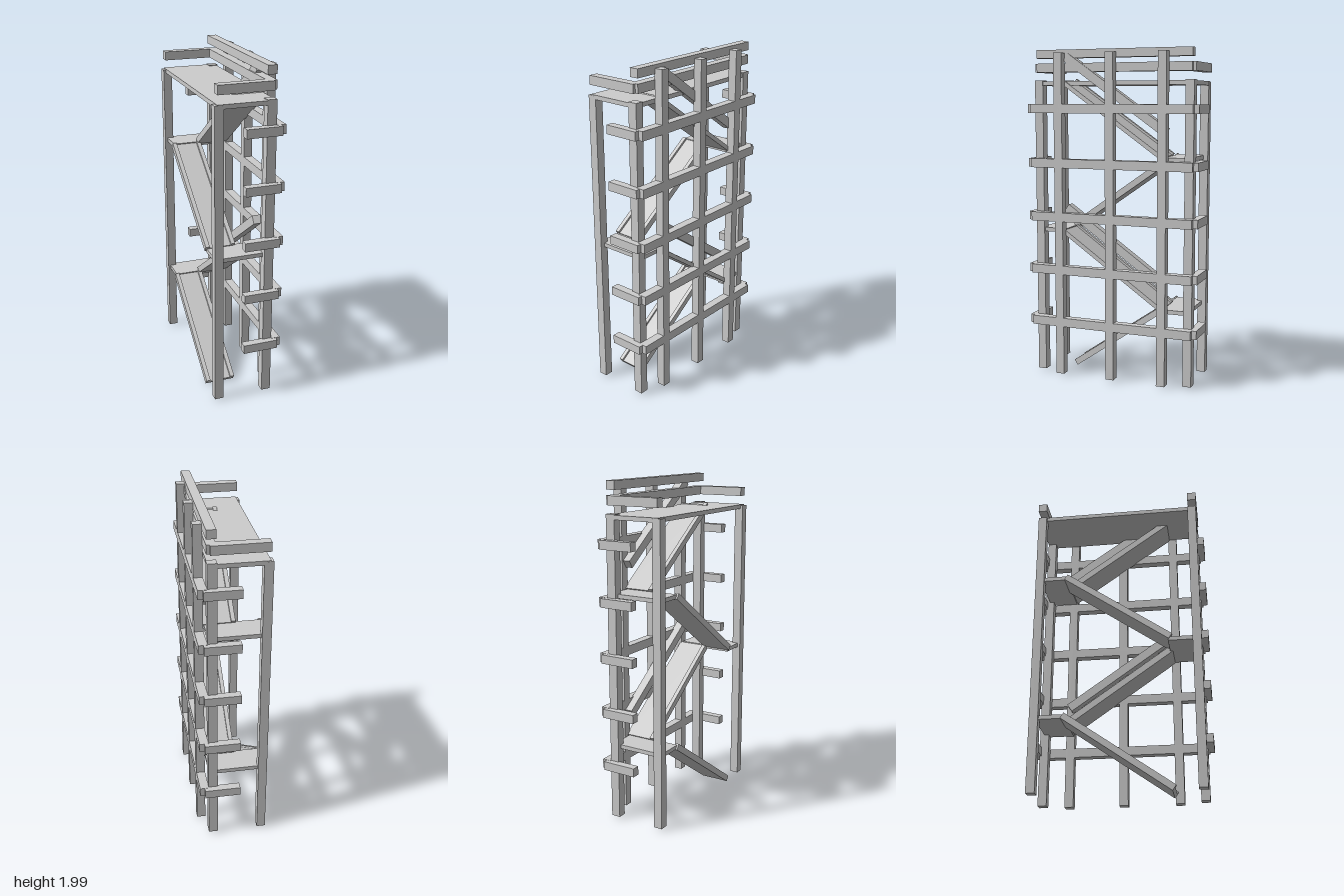
import * as THREE from 'three';

export function createModel() {
  const model = new THREE.Group();
  model.name = 'scaffoldStairTower';
  const grey = new THREE.MeshStandardMaterial({ color: 0xcccccc });
  grey.name = 'plain grey';

  // Box given by its extents on each axis
  function box(name, [x0, x1], [y0, y1], [z0, z1], parent = model) {
    const mesh = new THREE.Mesh(new THREE.BoxGeometry(x1 - x0, y1 - y0, z1 - z0), grey);
    mesh.position.set((x0 + x1) / 2, (y0 + y1) / 2, (z0 + z1) / 2);
    mesh.name = name;
    parent.add(mesh);
  }

  // Corner posts
  for (const z of [-0.475, 0.475]) {
    box('backPost', [-0.205, -0.153], [0.02, 1.81], [z - 0.026, z + 0.026]);
    box('frontPost', [0.093, 0.148], [0.02, 1.82], [z - 0.026, z + 0.026]);
  }

  // Tall outer posts of the lattice
  for (const z of [-0.327, -0.002, 0.327]) {
    box('latticePost', [0.148, 0.2], [0.02, 1.98], [z - 0.026, z + 0.026]);
  }

  // Lattice rails with short returns around both ends
  for (let i = 0; i < 5; i++) {
    const y = 0.347 + i * 0.3265;
    box('latticeRail', [0.148, 0.2], [y - 0.027, y + 0.027], [-0.51, 0.51]);
    for (const z of [-0.514, 0.514]) {
      box('returnRail', [-0.038, 0.172], [y - 0.026, y + 0.026], [z - 0.024, z + 0.024]);
    }
  }

  // Top deck, guard rails and the raised top beam
  box('topDeck', [-0.19, 0.143], [1.79, 1.815], [-0.5, 0.5]);
  for (const z of [-0.481, 0.477]) {
    box('endGuardRail', [-0.19, 0.132], [1.868, 1.92], [z - 0.027, z + 0.027]);
  }
  box('longGuardRail', [0.096, 0.15], [1.868, 1.92], [-0.49, 0.487]);
  box('topBeam', [0.096, 0.15], [1.95, 2.0], [-0.49, 0.487]);

  // Landings between flights, alternating ends
  for (let i = 0; i < 3; i++) {
    const y = 0.462 + i * 0.45;
    const z = i % 2 ? [0.305, 0.475] : [-0.475, -0.305];
    box('landing', [-0.19, 0.14], [y - 0.012, y + 0.012], z);
  }

  // Four sloping flights in two lanes, with low curbs and handrails
  for (let i = 0; i < 4; i++) {
    const outer = i % 2 === 1;
    const flight = new THREE.Group();
    flight.name = 'flight' + (i + 1);
    flight.position.y = 0.24 + i * 0.45;
    flight.rotation.x = outer ? -0.61 : 0.61;
    model.add(flight);
    const len = [-0.385, 0.385];
    const lane = outer ? [-0.038, 0.156] : [-0.2, -0.02];
    box('ramp', lane, [-0.0125, 0.0125], len, flight);
    box('curb', outer ? [-0.038, -0.013] : [-0.045, -0.02], [0.0125, 0.025], len, flight);
    if (outer) {
      box('handrail', [0.104, 0.156], [0.106, 0.158], [-0.31, 0.45], flight);
    } else {
      box('curb', [-0.2, -0.175], [0.0125, 0.025], len, flight);
    }
  }
  return model;
}
